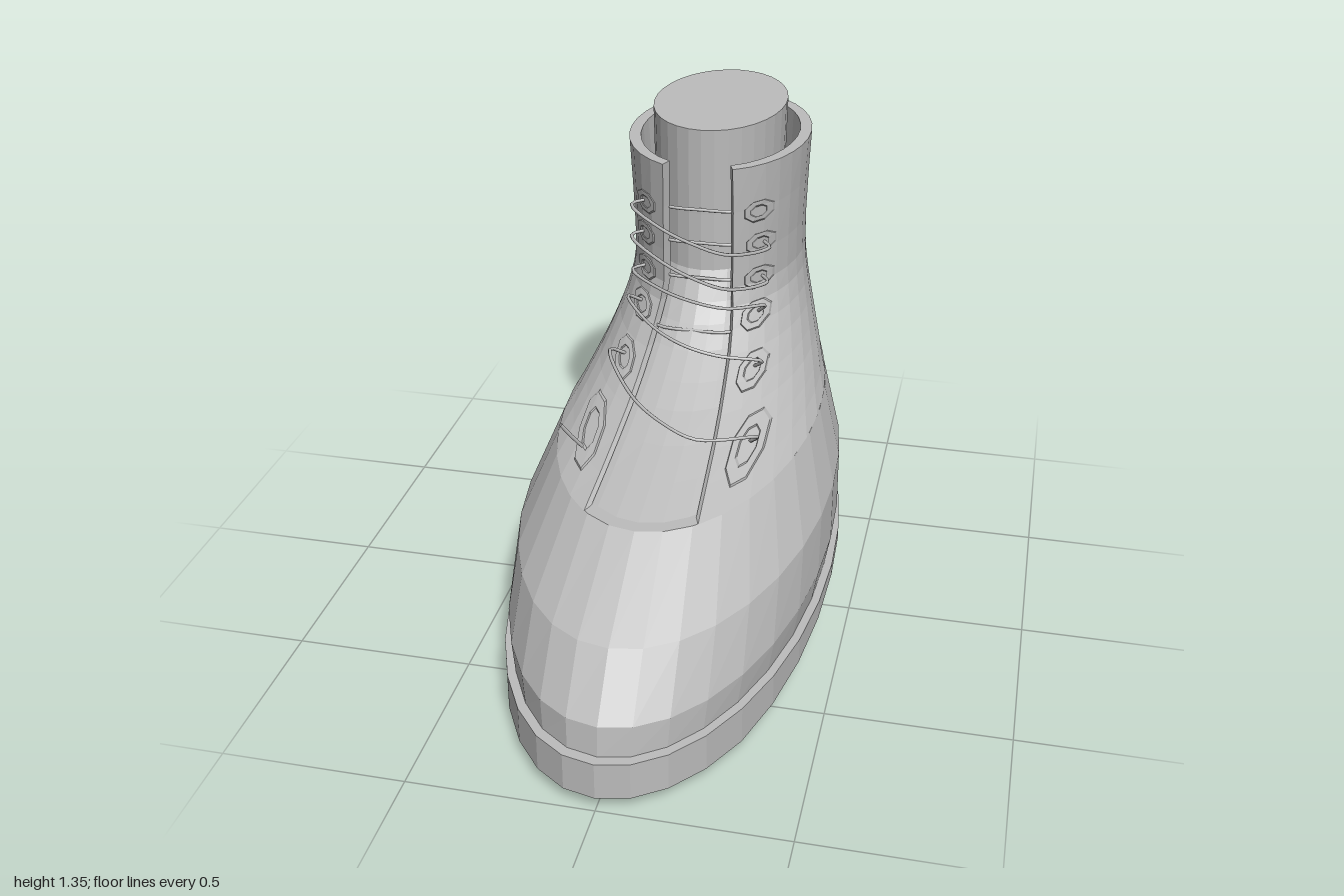
import * as THREE from 'three';

const grey = new THREE.MeshStandardMaterial({ color: 0xbcbcbc, side: THREE.DoubleSide });
grey.name = 'grey';

// Boot profile rows: [height, half width, front z at the lacing edge, back z, half lacing gap]
const LOWER = [
  [0.14, 0.42, 0.97, -0.975, 0], [0.23, 0.436, 0.96, -0.972, 0],
  [0.38, 0.43, 0.84, -0.96, 0], [0.55, 0.365, 0.567, -0.948, 0],
];
const UPPER = [
  [0.55, 0.365, 0.5, -0.948, 0.152], [0.585, 0.345, 0.36, -0.945, 0.145],
  [0.62, 0.329, 0.23, -0.942, 0.139], [0.66, 0.311, 0.11, -0.938, 0.132],
  [0.7, 0.296, 0.02, -0.935, 0.126], [0.75, 0.279, -0.075, -0.93, 0.12],
  [0.8, 0.265, -0.14, -0.925, 0.113], [0.85, 0.255, -0.185, -0.92, 0.106],
  [0.9, 0.25, -0.203, -0.915, 0.1], [1.0, 0.25, -0.203, -0.905, 0.1],
  [1.13, 0.255, -0.197, -0.892, 0.1], [1.26, 0.262, -0.188, -0.88, 0.098],
];

// Full ellipse {y, rx, rz, c, gap} described by a profile row
function ellipse([y, rx, zEdge, zBack, gap]) {
  const rz = (zEdge - zBack) / (1 + Math.sqrt(1 - (gap / rx) ** 2));
  return { y, rx, rz, c: zBack + rz, gap };
}

// Points of an ellipse, leaving out a gap at the front
function arc(e, n, gap = 0, closed = true) {
  const a = Math.asin(gap / e.rx), pts = [];
  for (let i = 0; i < (closed ? n : n + 1); i++) {
    const t = a + (2 * Math.PI - 2 * a) * i / n;
    pts.push(new THREE.Vector3(e.rx * Math.sin(t), e.y, e.c + e.rz * Math.cos(t)));
  }
  return pts;
}

const shrink = (e, dx, dz) => ({ ...e, rx: e.rx - dx, rz: e.rz - dz });

function facets(tris) {
  const g = new THREE.BufferGeometry().setFromPoints(tris);
  g.computeVertexNormals();
  return g;
}

// Flat-shaded skin through closed rings
function skin(rings) {
  const tris = [];
  for (let i = 0; i + 1 < rings.length; i++) {
    const n = rings[i].length;
    for (let j = 0; j < n; j++) {
      const k = (j + 1) % n;
      const a = rings[i][j], b = rings[i][k], c = rings[i + 1][k], d = rings[i + 1][j];
      tris.push(a, b, c, a, c, d);
    }
  }
  return tris;
}

function fan(ring, centre, up) {
  return ring.flatMap((p, j) => {
    const q = ring[(j + 1) % ring.length];
    return up ? [p, q, centre] : [q, p, centre];
  });
}

const upperEllipses = UPPER.map(ellipse);

// Depth of the outer boot surface at a front position
function surfaceZ(x, y) {
  let i = 0;
  while (i < upperEllipses.length - 2 && upperEllipses[i + 1].y < y) i++;
  const a = upperEllipses[i], b = upperEllipses[i + 1], t = (y - a.y) / (b.y - a.y);
  const rx = THREE.MathUtils.lerp(a.rx, b.rx, t);
  const rz = THREE.MathUtils.lerp(a.rz, b.rz, t);
  const c = THREE.MathUtils.lerp(a.c, b.c, t);
  return c + rz * Math.sqrt(Math.max(0, 1 - (x / rx) ** 2));
}

export function createModel() {
  const model = new THREE.Group();
  model.name = 'boot';
  const add = (name, geometry) => {
    const mesh = new THREE.Mesh(geometry, grey);
    mesh.name = name;
    model.add(mesh);
    return mesh;
  };
  const V = (x, y, z) => new THREE.Vector3(x, y, z);

  // Sole: elliptical slab, thick at the toe and thin towards the heel
  const soleTop = arc({ y: 0.146, rx: 0.444, rz: 1, c: 0 }, 32);
  const soleBottom = soleTop.map((p) =>
    V(p.x, 0.04 + 0.07 * THREE.MathUtils.clamp((0.7 - p.z) / 0.7, 0, 1), p.z));
  add('sole', facets([...skin([soleBottom, soleTop]),
    ...fan(soleTop, V(0, 0.146, 0), true), ...fan(soleBottom, V(0, 0.085, 0), false)]));

  // Heel block
  const heel = new THREE.CylinderGeometry(1, 1, 0.12, 32).scale(0.24, 1, 0.212);
  add('heel', heel.translate(0, 0.06, -0.732));

  // Vamp: closed lower part of the boot, with the ledge at the foot of the lacing gap
  const vamp = LOWER.map(ellipse);
  const vampRings = vamp.map((e) => arc(e, 32));
  vampRings.push(arc(shrink(vamp[3], 0.045, 0.045), 32));
  add('vamp', facets(skin(vampRings)));

  // Shaft: thick wall, open along the lacing gap
  const n = 30;
  const shaftRings = upperEllipses.map((e) => [
    ...arc(e, n, e.gap, false),
    ...arc(shrink(e, 0.034, 0.034), n, e.gap - 0.012, false).reverse(),
  ]);
  const shaft = skin(shaftRings);
  const rim = shaftRings.at(-1);
  for (let j = 0; j < n; j++) {
    const a = rim[j], b = rim[j + 1], c = rim[2 * n - j], d = rim[2 * n + 1 - j];
    shaft.push(a, b, c, a, c, d);
  }
  add('shaft', facets(shaft));

  // Tongue and leg: inner foot surface rising into the leg stump
  const innerRings = upperEllipses.filter((e) => e.y < 0.87)
    .map((e) => shrink(e, 0.045, 0.045));
  innerRings.push(
    { y: 0.93, rx: 0.19, rz: 0.295, c: -0.535 },
    { y: 1.1, rx: 0.185, rz: 0.28, c: -0.52 },
    { y: 1.35, rx: 0.19, rz: 0.284, c: -0.517 },
  );
  const inner = innerRings.map((e) => arc(e, 32));
  add('tongueAndLeg', facets([...skin(inner), ...fan(inner.at(-1), V(0, 1.35, -0.517), true)]));

  // Eyelets: raised octagonal rings wrapped onto the shaft
  const eyes = [[0.163, 1.12], [0.168, 1.02], [0.165, 0.915], [0.167, 0.82], [0.185, 0.715], [0.22, 0.61]];
  const steps = [[0.046, -0.006], [0.041, 0.009], [0.024, 0.009], [0.02, -0.006]];
  for (const side of [-1, 1]) {
    eyes.forEach(([ex, ey], row) => {
      const size = row < 5 ? 0.85 : 1;
      const rings = steps.map(([r, lift]) => Array.from({ length: 8 }, (_, j) => {
        const t = (j + 0.5) * Math.PI / 4;
        const x = side * ex + r * size * Math.cos(t), y = ey + r * size * 0.9 * Math.sin(t);
        return V(x, y + lift * 0.5, surfaceZ(x, y) + lift);
      }));
      add('eyelet', facets(skin(rings)));
    });
  }

  // Laces: bowed diagonals from each eyelet to the next one down on the other side
  const lace = (name, pts, segments = 32) => add(name,
    new THREE.TubeGeometry(new THREE.CatmullRomCurve3(pts, false, 'centripetal'), segments, 0.005, 6));
  const bulge = [-0.1, -0.1, -0.11, 0.0, 0.26];
  for (let i = 0; i < 5; i++) {
    const [lx, ly] = eyes[i], [rx, ry] = eyes[i + 1];
    const lz = surfaceZ(lx, ly), rz = surfaceZ(rx, ry);
    const ya = ly + (i < 3 ? 0 : 0.033), yb = ry + (i < 2 ? 0 : 0.045);
    lace('diagonalLace', [
      V(-lx, ly, lz - 0.02), V(-lx - 0.035, ya, lz + 0.025),
      V(-0.1, ya * 0.75 + yb * 0.25, bulge[i] * 0.75 + lz * 0.25),
      V(0, (ya + yb) / 2, bulge[i]),
      V(0.1, ya * 0.25 + yb * 0.75, Math.max(bulge[i], rz * 0.5 + bulge[i] * 0.5) + (i > 3 ? 0.03 : 0)),
      V(rx + 0.03, yb, rz + 0.03), V(rx, ry, rz - 0.02),
    ]);
  }
  // Straight crossbars inside the lacing gap
  for (const [y, z] of [[1.12, -0.225], [1.02, -0.225], [0.912, -0.225], [0.788, -0.135]]) {
    lace('crossLace', [V(-0.15, y, z - 0.05), V(-0.09, y, z - 0.005), V(0, y, z), V(0.09, y, z - 0.005), V(0.15, y, z - 0.05)], 12);
  }
  // Loose end
  lace('laceEnd', [V(-0.22, 0.605, 0.265), V(-0.245, 0.65, 0.29), V(-0.265, 0.69, 0.31)], 4);

  return model;
}
